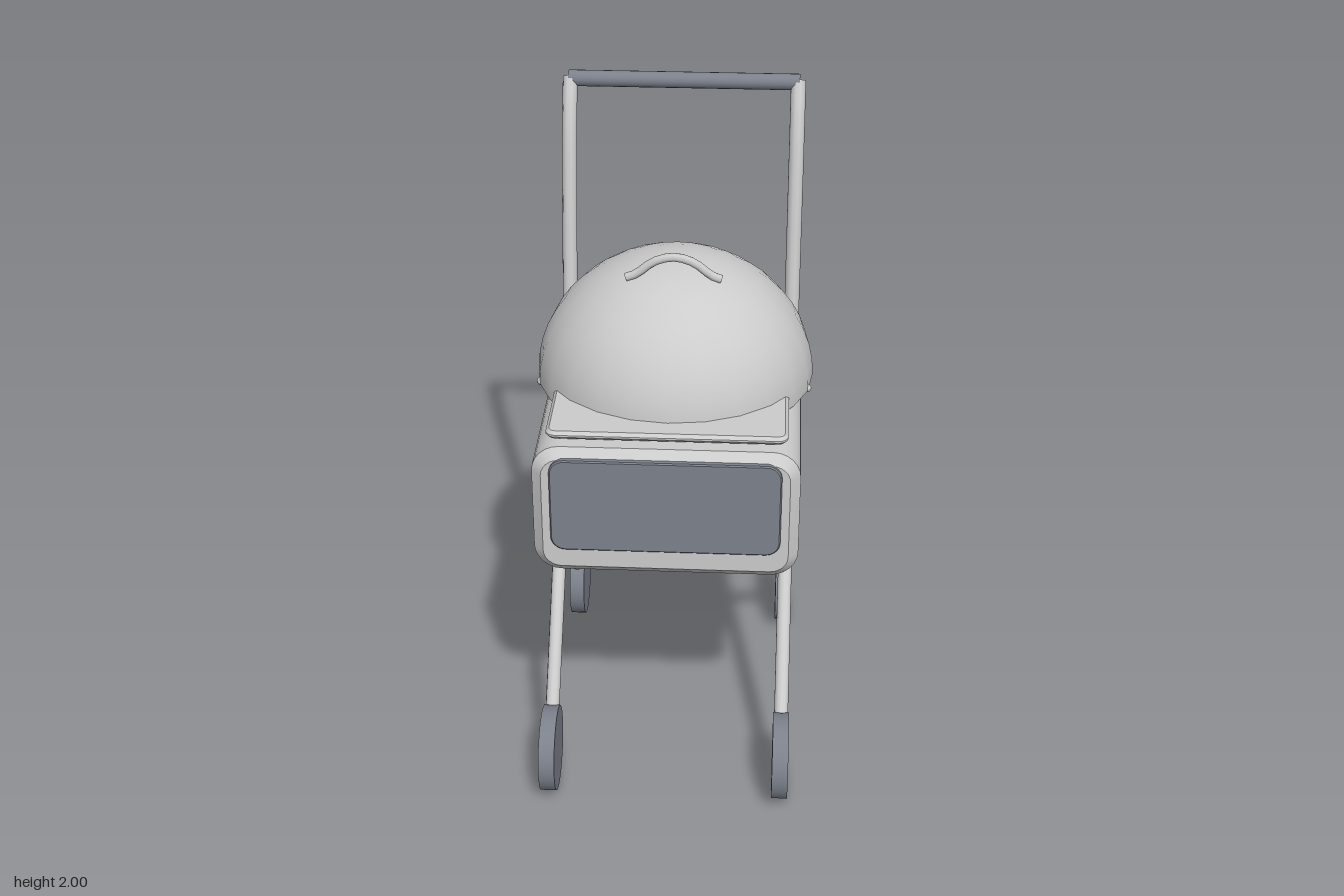
import * as THREE from 'three';
import { toCreasedNormals } from 'three/addons/utils/BufferGeometryUtils.js';

const grey = new THREE.MeshStandardMaterial({ color: 0xcccccc });
const greyOpen = new THREE.MeshStandardMaterial({ color: 0xcccccc, side: THREE.DoubleSide });
const dark = new THREE.MeshStandardMaterial({ color: 0x7c818c });

const V = (x, y, z) => new THREE.Vector3(x, y, z);

function add(parent, name, geometry, material = grey) {
  const mesh = new THREE.Mesh(geometry, material);
  mesh.name = name;
  parent.add(mesh);
  return mesh;
}

// Rounded slab centred on the origin, thickness along z, bevelled at both ends
function slab(w, h, depth, radius, bevel, segments) {
  const x = w / 2 - bevel, y = h / 2 - bevel, r = radius - bevel;
  const s = new THREE.Shape();
  s.absarc(x - r, y - r, r, 0, Math.PI / 2);
  s.absarc(-x + r, y - r, r, Math.PI / 2, Math.PI);
  s.absarc(-x + r, -y + r, r, Math.PI, Math.PI * 1.5);
  s.absarc(x - r, -y + r, r, Math.PI * 1.5, Math.PI * 2);
  const g = new THREE.ExtrudeGeometry(s, {
    depth: depth - 2 * bevel, curveSegments: segments,
    bevelSize: bevel, bevelThickness: bevel, bevelSegments: 1,
  });
  return g.translate(0, 0, bevel - depth / 2);
}

// Closed round rod between two points
function rod(a, b, radius, sides = 12) {
  const dir = b.clone().sub(a);
  const g = new THREE.CylinderGeometry(radius, radius, dir.length(), sides);
  g.applyQuaternion(new THREE.Quaternion().setFromUnitVectors(V(0, 1, 0), dir.normalize()));
  const mid = a.clone().add(b).multiplyScalar(0.5);
  return g.translate(mid.x, mid.y, mid.z);
}

export function createModel() {
  const model = new THREE.Group();
  model.name = 'grillCart';

  // Cart body, front panel and raised top plate
  const body = slab(0.8, 0.43, 0.91, 0.085, 0.03, 3);
  add(model, 'body', toCreasedNormals(body, 0.3)).position.y = 0.99;
  add(model, 'frontPanel', slab(0.69, 0.31, 0.03, 0.045, 0.004, 4), dark).position.set(0, 1.025, 0.453);
  const plate = add(model, 'topPlate', slab(0.72, 0.79, 0.026, 0.03, 0.01, 3));
  plate.rotation.x = -Math.PI / 2;
  plate.position.set(0, 1.225, 0.005);

  // Domed lid with its arched grip
  const dome = new THREE.SphereGeometry(0.435, 24, 12, 0, Math.PI * 2, 0, Math.PI / 2);
  dome.scale(1, 0.4 / 0.435, 1);
  add(model, 'lid', dome, greyOpen).position.set(0, 1.19, -0.105);
  const gripPath = new THREE.CatmullRomCurve3([
    V(-0.145, 1.56, 0), V(-0.115, 1.572, 0), V(-0.06, 1.614, 0), V(0, 1.63, 0),
    V(0.06, 1.614, 0), V(0.115, 1.572, 0), V(0.145, 1.56, 0),
  ]);
  add(model, 'lidGrip', new THREE.TubeGeometry(gripPath, 12, 0.014, 8), greyOpen);

  // Push bar
  add(model, 'pushBar', rod(V(-0.37, 1.975, -0.603), V(0.37, 1.975, -0.603), 0.026, 16), dark);

  for (const side of [-1, 1]) {
    const x = side * 0.365;

    // Curved handle post and lid pin
    const postPath = new THREE.CatmullRomCurve3([
      V(x, 1.17, -0.398), V(x, 1.4, -0.442), V(x, 1.6, -0.48),
      V(x, 1.8, -0.527), V(x, 1.9, -0.562), V(x, 1.98, -0.603),
    ]);
    add(model, 'handlePost', new THREE.TubeGeometry(postPath, 16, 0.024, 10), greyOpen);
    add(model, 'lidPin', new THREE.SphereGeometry(0.013, 10, 8)).position.set(side * 0.417, 1.194, 0);

    // Crossed legs with wheels
    for (const end of [-1, 1]) {
      add(model, 'leg', rod(V(x, 0.137, end * 0.495), V(x, 0.815, end * -0.075), 0.022));
      const wheel = new THREE.CylinderGeometry(0.135, 0.135, 0.05, 32).rotateZ(Math.PI / 2);
      add(model, 'wheel', wheel, dark).position.set(x, 0.135, end * 0.493);
    }
  }
  return model;
}
